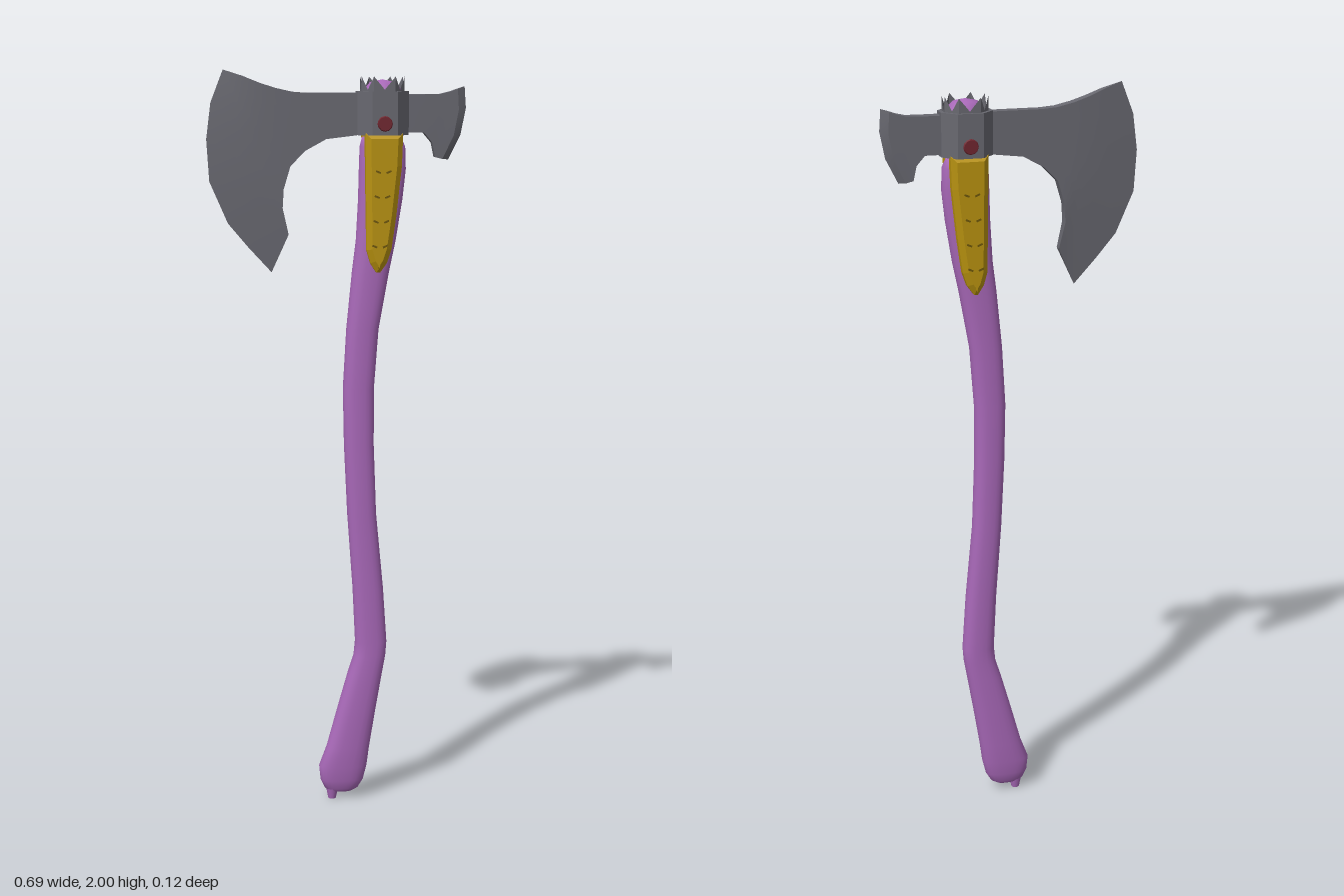
import * as THREE from 'three';
import { toCreasedNormals } from 'three/addons/utils/BufferGeometryUtils.js';

const mat = (color, side = THREE.FrontSide) => new THREE.MeshStandardMaterial({ color, side });
const wood = mat(0xa868b8);
const steel = mat(0x686870);
const steelThin = mat(0x686870, THREE.DoubleSide);
const gold = mat(0xb8920f);
const darkGold = mat(0x6e5708);
const red = mat(0x70262f);

// Joins closed rings of [x, y, z] points into a skin
function loft(rings, flip = false) {
  const n = rings[0].length;
  const index = [];
  for (let i = 0; i < rings.length - 1; i++) {
    for (let k = 0; k < n; k++) {
      const a = i * n + k, b = i * n + (k + 1) % n, c = a + n, d = b + n;
      if (flip) index.push(a, b, c, b, d, c);
      else index.push(a, c, b, b, c, d);
    }
  }
  const g = new THREE.BufferGeometry();
  g.setAttribute('position', new THREE.Float32BufferAttribute(rings.flat(2), 3));
  g.setIndex(index);
  g.computeVertexNormals();
  return g;
}

// Blade from sections [topX, topY, bottomX, bottomY, halfThickness, bow]; bow blends to the edge curve
function bladeGeometry(sections, edge, flip) {
  const n = edge.length - 1;
  const [e0, e1] = [edge[0], edge[n]];
  const rings = sections.map(([tx, ty, bx, by, t, bow]) => {
    const line = edge.map(([ex, ey], k) => {
      const v = k / n;
      return [
        tx + (bx - tx) * v + bow * (ex - e0[0] - (e1[0] - e0[0]) * v),
        ty + (by - ty) * v + bow * (ey - e0[1] - (e1[1] - e0[1]) * v),
      ];
    });
    return [...line.map(([x, y]) => [x, y, t]), ...line.reverse().map(([x, y]) => [x, y, -t])];
  });
  return toCreasedNormals(loft(rings, flip), 0.4);
}

// Eight corners of the head's stretched octagon, at [x, z]
const octagon = (rx, rz) => [
  [1, 0.36], [0.5, 1], [-0.5, 1], [-1, 0.36], [-1, -0.36], [-0.5, -1], [0.5, -1], [1, -0.36],
].map(([x, z]) => new THREE.Vector2(0.12 + x * rx, z * rz));

export function createModel() {
  const model = new THREE.Group();
  const add = (name, geometry, material, parent = model) => {
    const m = new THREE.Mesh(geometry, material);
    m.name = name;
    parent.add(m);
    return m;
  };

  // Curved handle: [y, left x, right x, half depth], bottom to top
  const handle = [
    [0.018, 0.01, 0.01, 0], [0.02, -0.015, 0.04, 0.013], [0.03, -0.034, 0.058, 0.021],
    [0.055, -0.046, 0.073, 0.028], [0.095, -0.05, 0.083, 0.032], [0.15, -0.029, 0.09, 0.034],
    [0.255, 0, 0.107, 0.034], [0.36, 0.03, 0.125, 0.033], [0.41, 0.046, 0.134, 0.032],
    [0.45, 0.05, 0.137, 0.032], [0.6, 0.043, 0.127, 0.032], [0.81, 0.028, 0.107, 0.032],
    [1.0, 0.019, 0.1, 0.032], [1.155, 0.016, 0.1, 0.032], [1.315, 0.025, 0.112, 0.032],
    [1.47, 0.04, 0.14, 0.032], [1.55, 0.05, 0.157, 0.032], [1.66, 0.056, 0.175, 0.032],
    [1.74, 0.058, 0.184, 0.032], [1.8, 0.06, 0.182, 0.032], [1.825, 0.066, 0.17, 0.028],
    [1.835, 0.12, 0.12, 0],
  ];
  const round = (s) => Math.sign(s) * Math.abs(s) ** 0.8;
  add('handle', loft(handle.map(([y, l, r, d]) => Array.from({ length: 24 }, (_, k) => {
    const a = k / 24 * Math.PI * 2;
    return [(l + r) / 2 + round(Math.cos(a)) * (r - l) / 2, y, round(Math.sin(a)) * d];
  }))), wood);

  // Small nub under the knob
  const nub = add('handleNub', new THREE.CylinderGeometry(0.02, 0.011, 0.045, 10), wood);
  nub.position.set(-0.014, 0.0225, 0);

  // Domed handle end inside the head
  const domeProfile = [[1, 0], [1, 0.1], [0.9, 0.122], [0.6, 0.138], [0, 0.145]];
  const dome = add('handleEnd', new THREE.LatheGeometry(
    domeProfile.map(([x, y]) => new THREE.Vector2(x, y)), 12), wood);
  dome.position.set(0.12, 1.83, 0);
  dome.scale.set(0.054, 1, 0.047);

  // Main blade
  add('blade', bladeGeometry([
    [0.07, 1.94, 0.07, 1.832, 0.015, 0], [-0.03, 1.94, -0.03, 1.82, 0.015, 0],
    [-0.08, 1.94, -0.085, 1.79, 0.015, 0], [-0.12, 1.943, -0.125, 1.75, 0.015, 0.03],
    [-0.165, 1.953, -0.143, 1.69, 0.015, 0.12], [-0.205, 1.966, -0.146, 1.64, 0.014, 0.3],
    [-0.25, 1.984, -0.13, 1.57, 0.01, 0.6], [-0.3, 2, -0.175, 1.47, 0, 1],
  ], [
    [-0.3, 2], [-0.333, 1.915], [-0.345, 1.82], [-0.338, 1.71], [-0.29, 1.6],
    [-0.235, 1.535], [-0.175, 1.47],
  ], false), steel);

  // Small rear blade
  add('rearBlade', bladeGeometry([
    [0.17, 1.936, 0.17, 1.836, 0.017, 0], [0.23, 1.936, 0.23, 1.836, 0.016, 0],
    [0.275, 1.937, 0.252, 1.81, 0.014, 0.2], [0.3, 1.943, 0.26, 1.772, 0.013, 0.5],
    [0.32, 1.95, 0.28, 1.767, 0.012, 0.9], [0.34, 1.957, 0.297, 1.765, 0, 1],
  ], [[0.34, 1.957], [0.344, 1.9], [0.33, 1.83], [0.297, 1.765]], true), steel);

  // Hollow collar
  const ring = new THREE.Shape(octagon(0.068, 0.057));
  ring.holes.push(new THREE.Path(octagon(0.058, 0.049).reverse()));
  const collar = add('collar', new THREE.ExtrudeGeometry(ring, {
    depth: 0.114, bevelEnabled: false,
  }).rotateX(-Math.PI / 2), steel);
  collar.position.y = 1.83;

  // Pointed crown above the collar
  const corners = octagon(0.057, 0.049);
  const crown = [];
  corners.forEach((p, i) => {
    const q = corners[(i + 1) % 8];
    const m = p.clone().lerp(q, 0.5);
    const at = (v, y) => [v.x, y, v.y];
    const low = at(m, 1.948);
    crown.push(at(p, 1.93), at(p, 1.982), low, at(p, 1.93), low, at(q, 1.93),
      low, at(q, 1.982), at(q, 1.93));
  });
  const crownGeometry = new THREE.BufferGeometry();
  crownGeometry.setAttribute('position', new THREE.Float32BufferAttribute(crown.flat(), 3));
  crownGeometry.computeVertexNormals();
  add('crown', crownGeometry, steelThin);

  // Gold plate, engraved dashes and rivet, repeated on both faces
  const plateShape = new THREE.Shape([
    [0.07, 1.835], [0.073, 1.62], [0.074, 1.53], [0.084, 1.495], [0.1, 1.47], [0.11, 1.47],
    [0.128, 1.495], [0.14, 1.53], [0.153, 1.62], [0.167, 1.75], [0.17, 1.835],
  ].reverse().map(([x, y]) => new THREE.Vector2(x, y)));
  const plateGeometry = new THREE.ExtrudeGeometry(plateShape, {
    depth: 0.02, bevelThickness: 0.012, bevelSize: 0.014, bevelOffset: -0.014, bevelSegments: 1,
  });
  for (const [side, s] of [['front', 1], ['back', -1]]) {
    const face = new THREE.Group();
    face.name = side + 'Fittings';
    face.scale.z = s;
    model.add(face);
    add('plate', plateGeometry, gold, face).position.z = 0.023;
    for (let i = 0; i < 4; i++) {
      for (const dx of [-0.014, 0.014]) {
        const dash = add('dash', new THREE.BoxGeometry(0.014, 0.005, 0.002), darkGold, face);
        dash.position.set(0.108 + i * 0.003 + dx, 1.54 + i * 0.065, 0.055);
        dash.rotation.z = dx > 0 ? 0.4 : -0.4;
      }
    }
    const rivet = add('rivet', new THREE.CylinderGeometry(0.018, 0.025, 0.012, 12)
      .rotateX(Math.PI / 2), red, face);
    rivet.position.set(0.12, 1.86, 0.055);
  }
  return model;
}
